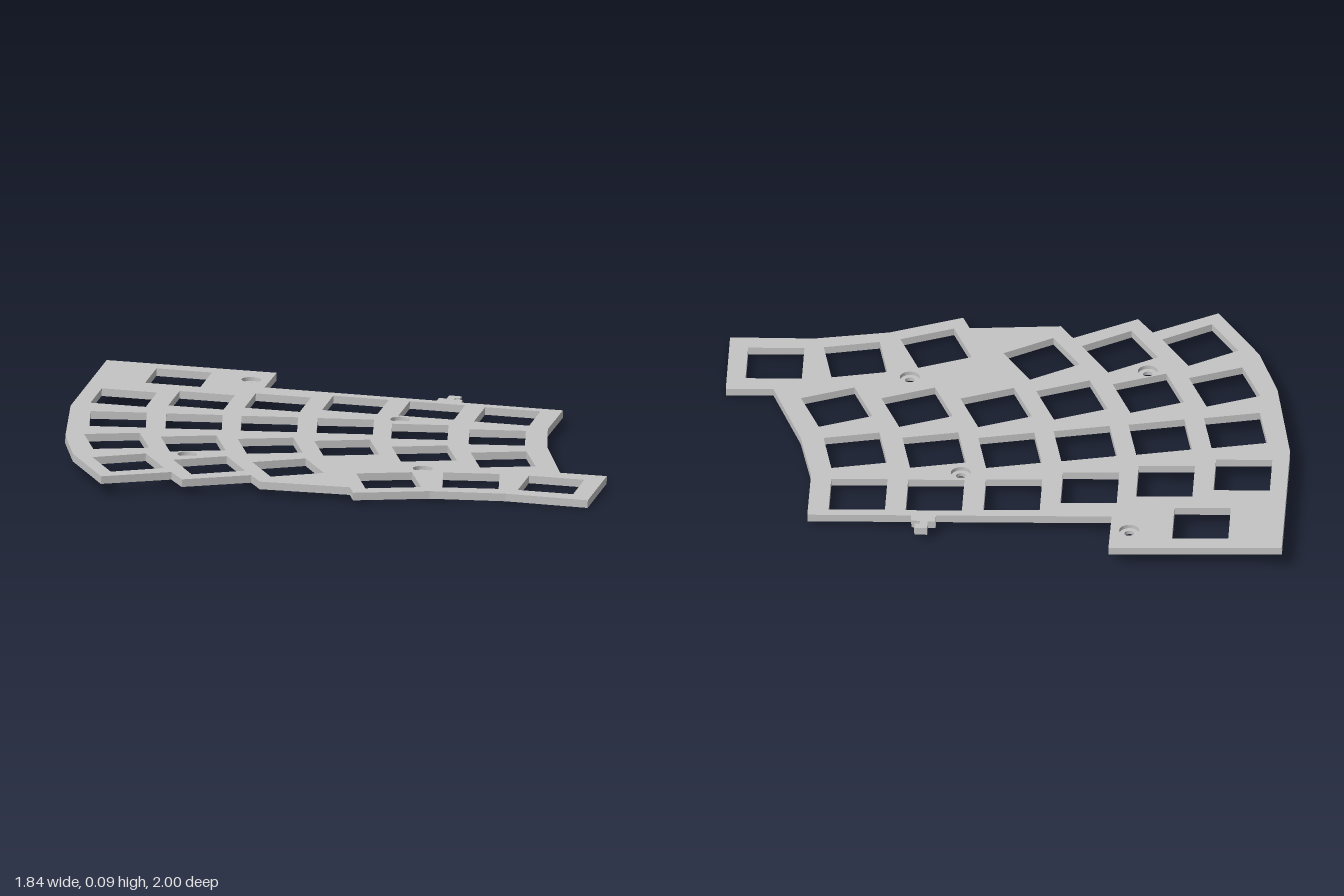
import * as THREE from 'three';

const THICK = 0.028;
const SEAT_R = 0.035;

// Plan outline as [x, z], counterclockwise seen from above
const OUTLINE = [
  [-0.828, -0.41], [-0.913, -0.013], [-0.926, 0.23], [-0.876, 0.537], [-0.617, 0.5],
  [-0.596, 0.601], [-0.341, 0.564], [-0.325, 0.653], [-0.018, 0.754], [-0.018, 0.828],
  [0.257, 0.828], [0.52, 0.884], [0.797, 0.996], [0.918, 0.68], [0.76, 0.622],
  [0.77, 0.285], [0.812, 0.04], [0.907, -0.204], [-0.1, -0.595], [-0.025, -0.785],
  [-0.6, -1.003],
];

// Switch openings: rows of [x, z] centres sharing one turn in degrees
const ROWS = [
  { turn: 21, at: [[-0.384, -0.749]] },
  { turn: 21, at: [[-0.622, -0.5], [-0.352, -0.442], [-0.087, -0.389], [0.183, -0.336], [0.442, -0.241], [0.696, -0.14]] },
  { turn: 10.5, at: [[-0.69, -0.214], [-0.426, -0.161], [-0.164, -0.108], [0.1, -0.056], [0.352, 0.04], [0.614, 0.137]] },
  { turn: 0, at: [[-0.743, 0.071], [-0.477, 0.127], [-0.209, 0.18], [0.058, 0.228], [0.32, 0.328], [0.587, 0.429]] },
  { turn: -9.5, at: [[-0.749, 0.362], [-0.468, 0.421], [-0.193, 0.474]] },
  { turn: 0, at: [[0.135, 0.672]] },
  { turn: 10.5, at: [[0.426, 0.701]] },
  { turn: 21, at: [[0.701, 0.78]] },
];

const SCREWS = [[-0.13, -0.701], [0.31, -0.132], [-0.521, 0.267], [0.282, 0.526]];

// Small hooked tab on the back edge
const TAB = [
  [0.56, -0.325], [0.574, -0.37], [0.545, -0.383], [0.553, -0.4], [0.569, -0.394],
  [0.579, -0.418], [0.537, -0.437], [0.521, -0.395], [0.495, -0.405], [0.478, -0.36],
];

// Shapes are drawn with y = -z so they lie flat after rotation
const toPoints = (list) => list.map(([x, z]) => new THREE.Vector2(x, -z));

function squareHole(x, z, turn, size = 0.2) {
  const centre = new THREE.Vector2(x, -z);
  const h = size / 2;
  const corners = [[-h, -h], [-h, h], [h, h], [h, -h]].map(([u, v]) =>
    new THREE.Vector2(u, v).rotateAround(new THREE.Vector2(), THREE.MathUtils.degToRad(-turn)).add(centre));
  return new THREE.Path(corners);
}

const roundHole = (x, z, r) => new THREE.Path().absarc(x, -z, r, 0, Math.PI * 2, true);

function slab(shape, depth) {
  const geometry = new THREE.ExtrudeGeometry(shape, { depth, bevelEnabled: false, curveSegments: 16 });
  return geometry.rotateX(-Math.PI / 2);
}

export function createModel() {
  const grey = new THREE.MeshStandardMaterial({ color: 0xc4c4c4 });
  grey.name = 'plate grey';

  const model = new THREE.Group();
  model.name = 'keyboardPlate';
  const add = (name, geometry) => {
    const mesh = new THREE.Mesh(geometry, grey);
    mesh.name = name;
    model.add(mesh);
  };

  // Main plate with switch openings and screw recesses
  const plate = new THREE.Shape(toPoints(OUTLINE));
  for (const { turn, at } of ROWS) {
    for (const [x, z] of at) plate.holes.push(squareHole(x, z, turn));
  }
  for (const [x, z] of SCREWS) plate.holes.push(roundHole(x, z, SEAT_R));
  add('switchPlate', slab(plate, THICK));

  // Ledge with a through hole at the bottom of each recess
  for (const [x, z] of SCREWS) {
    const ring = new THREE.Shape().absarc(x, -z, SEAT_R, 0, Math.PI * 2, false);
    ring.holes.push(roundHole(x, z, 0.017));
    add('screwSeat', slab(ring, THICK * 0.5));
  }

  add('edgeTab', slab(new THREE.Shape(toPoints(TAB)), THICK));

  // Slight tilt, resting on the front right corner
  const normal = new THREE.Vector3(0.0204, 1, 0.0167).normalize();
  model.quaternion.setFromUnitVectors(new THREE.Vector3(0, 1, 0), normal);
  model.position.set(0.004, 0.033, 0.004);
  return model;
}
